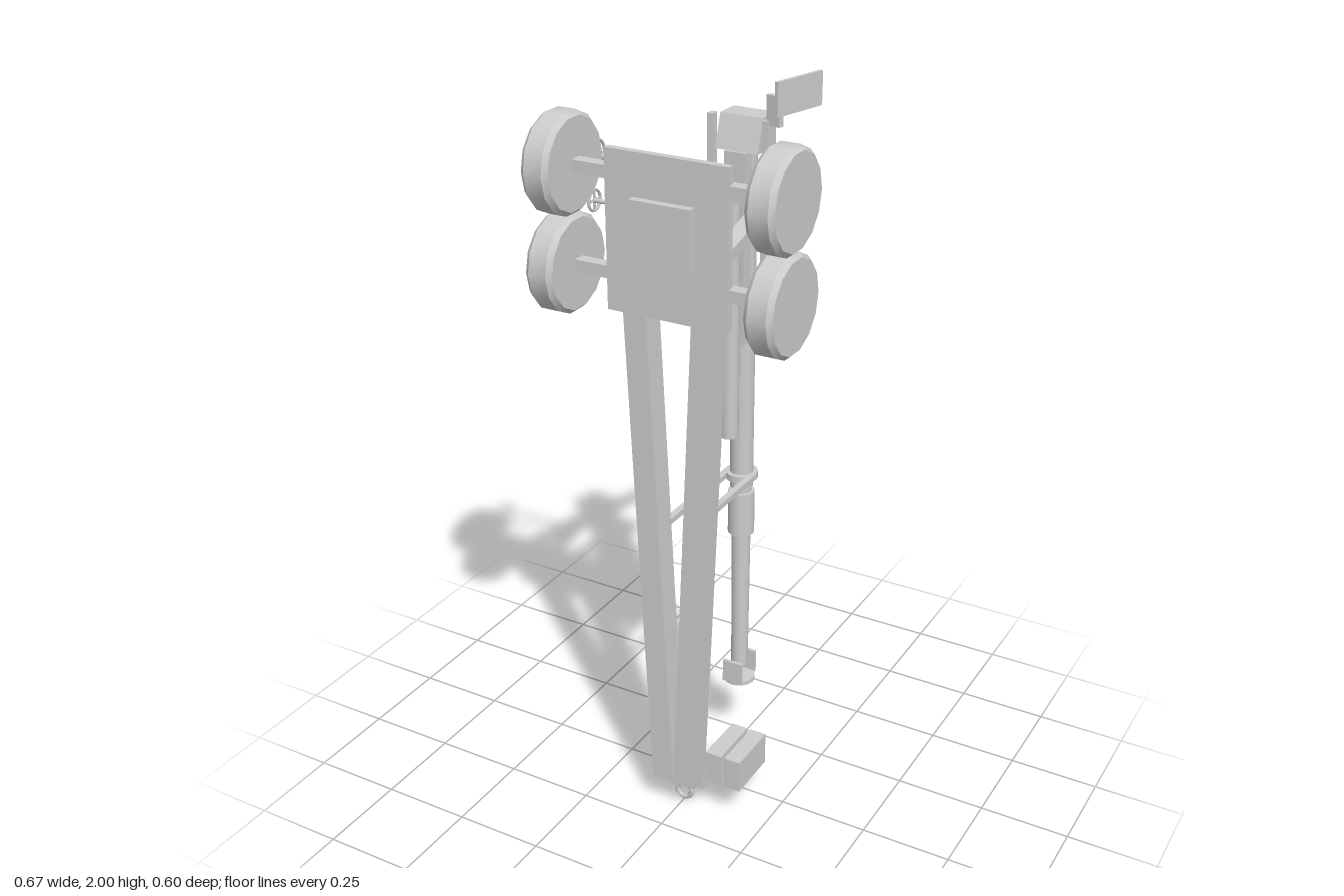
import * as THREE from 'three';
import { toCreasedNormals } from 'three/addons/utils/BufferGeometryUtils.js';

export function createModel() {
  const model = new THREE.Group();
  model.name = 'towedFieldGun';
  const grey = new THREE.MeshStandardMaterial({ color: 0xcccccc });
  grey.name = 'plain grey';

  const add = (name, geo, x = 0, y = 0, z = 0, parent = model) => {
    const mesh = new THREE.Mesh(geo, grey);
    mesh.name = name;
    mesh.position.set(x, y, z);
    parent.add(mesh);
    return mesh;
  };
  // box given by its limits on each axis
  const box = (name, x0, x1, y0, y1, z0, z1) =>
    add(name, new THREE.BoxGeometry(x1 - x0, y1 - y0, z1 - z0), (x0 + x1) / 2, (y0 + y1) / 2, (z0 + z1) / 2);
  // vertical round part between two heights
  const post = (name, rTop, rBottom, y0, y1, z, sides = 16) =>
    add(name, new THREE.CylinderGeometry(rTop, rBottom, y1 - y0, sides), 0, (y0 + y1) / 2, z);
  // round part along the z axis
  const disc = (name, r, y, z0, z1) => {
    const m = add(name, new THREE.CylinderGeometry(r, r, z1 - z0, 20), 0, y, (z0 + z1) / 2);
    m.rotation.x = Math.PI / 2;
  };
  // square bar between two points
  const bar = (name, a, b, w, h) => {
    const p = new THREE.Vector3(...a), q = new THREE.Vector3(...b);
    const m = add(name, new THREE.BoxGeometry(w, h, p.distanceTo(q)));
    m.position.copy(p).add(q).multiplyScalar(0.5);
    m.lookAt(q);
  };
  // side profile in (z, y), extruded across x
  const prism = (name, points, width) => {
    const shape = new THREE.Shape(points.map(([z, y]) => new THREE.Vector2(-z, y)));
    const geo = new THREE.ExtrudeGeometry(shape, { depth: width, bevelEnabled: false });
    geo.translate(0, 0, -width / 2).rotateY(Math.PI / 2);
    add(name, geo);
  };

  // Base plate, jack pad and turntable
  box('basePlate', -0.167, 0.167, 1.48, 1.885, 0.17, 0.19);
  box('jackPad', -0.083, 0.083, 1.625, 1.78, 0.2, 0.222);
  disc('pivotShaft', 0.025, 1.7, 0.112, 0.205);
  disc('turntable', 0.108, 1.7, 0.143, 0.17);
  box('pivotBracket', -0.065, 0.065, 1.6, 1.83, 0.145, 0.171);

  // Twin axles and four wheels
  const tyre = toCreasedNormals(new THREE.LatheGeometry([
    [0, -0.038], [0.117, -0.038], [0.128, -0.025], [0.128, 0.025], [0.117, 0.038], [0, 0.038],
  ].map(([r, h]) => new THREE.Vector2(r, h)), 14).rotateZ(Math.PI / 2), 0.6);
  for (const y of [1.825, 1.575]) {
    box('axle', -0.27, 0.27, y - 0.016, y + 0.016, 0.155, 0.1895);
    for (const s of [-1, 1]) add('wheel', tyre, s * 0.297, y, 0.172);
  }

  for (const s of [-1, 1]) {
    // Converging trail legs, skewed from a straight box
    const leg = new THREE.BoxGeometry(0.064, 1.42, 0.066);
    const pos = leg.attributes.position;
    for (let i = 0; i < pos.count; i++) {
      pos.setX(i, pos.getX(i) + s * (pos.getY(i) > 0 ? 0.097 : 0.032));
    }
    leg.computeVertexNormals();
    add('trailLeg', leg, 0, 0.81, 0.152);

    // V-shaped carriage arms to the trunnions
    for (const y of [1.79, 1.61]) {
      bar('carriageArm', [s * 0.091, y, 0.142], [s * 0.091, 1.7, -0.19], 0.045, 0.03);
    }
    // Slide rails and travel lock rods
    box('slideRail', s * 0.077 - 0.008, s * 0.077 + 0.008, 1.3, 1.895, -0.18, -0.156);
    box('travelLockRod', s * 0.037 - 0.009, s * 0.037 + 0.009, 0.888, 0.904, -0.2, 0.13);
  }

  // Trail end and towing eye
  box('trailEnd', -0.065, 0.065, 0.065, 0.108, 0.103, 0.132);
  add('towingEye', new THREE.TorusGeometry(0.023, 0.007, 8, 16), 0, 0.032, 0.12);
  box('towingNeck', -0.012, 0.012, 0.05, 0.07, 0.113, 0.127);

  // Barrel, sleeve, collar and muzzle brake
  const Z = -0.2;
  post('barrelRear', 0.033, 0.032, 0.86, 1.84, Z);
  post('barrelFront', 0.028, 0.024, 0.275, 0.88, Z);
  post('barrelSleeve', 0.037, 0.037, 0.715, 0.845, Z);
  post('travelLockCollar', 0.045, 0.045, 0.886, 0.905, Z);
  post('muzzleDisc', 0.045, 0.045, 0.223, 0.235, Z);
  for (const s of [-1, 1]) {
    box('muzzleBaffle', -0.03, 0.03, 0.23, 0.3, Z + s * 0.041 - 0.005, Z + s * 0.041 + 0.005);
  }

  // Breech, recoil cylinder and trunnions
  prism('breech', [[-0.25, 1.81], [-0.153, 1.81], [-0.18, 1.895], [-0.25, 1.895]], 0.12);
  post('recoilCylinder', 0.025, 0.025, 1.04, 1.71, -0.128, 12);
  box('cradle', -0.03, 0.03, 1.3, 1.81, -0.18, -0.145);
  const trunnion = add('trunnion', new THREE.CylinderGeometry(0.029, 0.029, 0.228, 16), 0, 1.7, -0.203);
  trunnion.rotation.z = Math.PI / 2;

  // Handwheels on long shafts
  for (const [y, z, r, shaft] of [[1.785, -0.027, 0.045, 0.009], [1.672, -0.014, 0.031, 0.006]]) {
    const wheel = new THREE.Group();
    wheel.name = 'handwheel';
    wheel.position.set(-0.331, y, z);
    wheel.rotation.y = Math.PI / 2;
    model.add(wheel);
    add('rim', new THREE.TorusGeometry(r - 0.004, 0.004, 6, 16), 0, 0, 0, wheel);
    add('spoke', new THREE.BoxGeometry(2 * r - 0.008, 0.006, 0.005), 0, 0, 0, wheel);
    add('spoke', new THREE.BoxGeometry(0.006, 2 * r - 0.008, 0.005), 0, 0, 0, wheel);
    const rod = add('handwheelShaft', new THREE.CylinderGeometry(shaft, shaft, 0.23, 10), -0.217, y, z);
    rod.rotation.z = Math.PI / 2;
  }

  // Sight plate on its bracket
  const sight = new THREE.Group();
  sight.name = 'sight';
  sight.position.set(0.137, 1.957, -0.217);
  sight.rotation.y = -0.25;
  model.add(sight);
  add('sightPlate', new THREE.BoxGeometry(0.01, 0.086, 0.165), 0, 0, 0, sight);
  add('sightBracket', new THREE.BoxGeometry(0.042, 0.075, 0.016), -0.025, -0.035, 0.058, sight);

  // Stowage boxes beside the trail
  box('stowageBox', 0.08, 0.128, 0.11, 0.205, -0.012, 0.142);
  box('stowageBox', 0.138, 0.185, 0.11, 0.205, -0.012, 0.142);

  return model;
}
